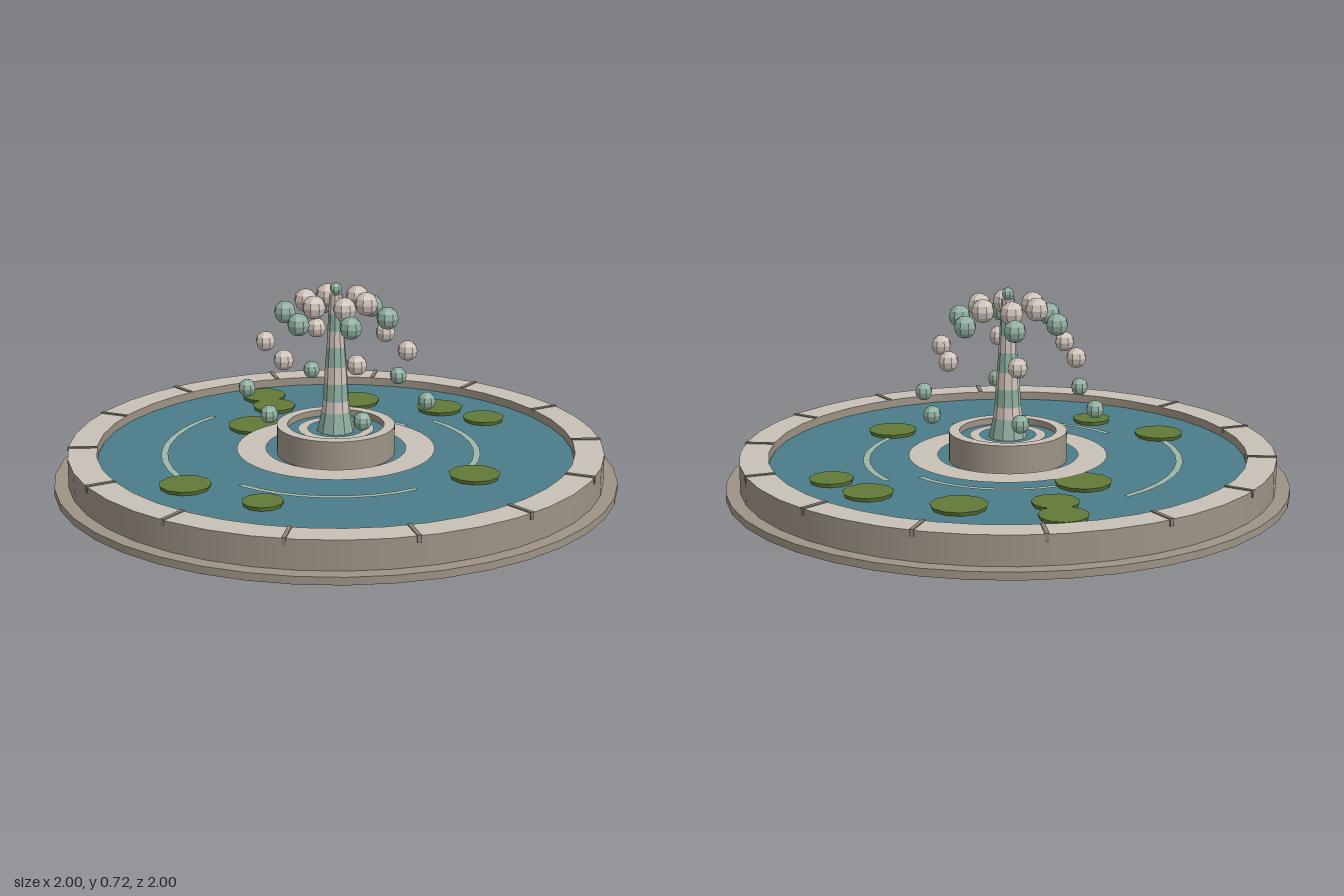
import * as THREE from 'three';

const mat = (name, color, extra = {}) => {
  const m = new THREE.MeshStandardMaterial({ color, ...extra });
  m.name = name;
  return m;
};

export function createModel() {
  const stone = mat('stone', 0x9d9385, { side: THREE.DoubleSide });
  const coping = mat('pale coping', 0xc8c0b6, { side: THREE.DoubleSide });
  const joint = mat('joint', 0x8c8276);
  const water = mat('water', 0x4b7d8a);
  const ripple = mat('ripple', 0x9cb5a8, { side: THREE.DoubleSide });
  const lily = mat('lily green', 0x627a37, { flatShading: true });
  const spray = mat('green spray', 0x8fae9f, { flatShading: true });
  const foam = mat('pale foam', 0xcfc3ba, { flatShading: true });

  const model = new THREE.Group();
  model.name = 'fountain';
  const SIDES = 40;

  const add = (name, geometry, material, x = 0, y = 0, z = 0) => {
    const mesh = new THREE.Mesh(geometry, material);
    mesh.name = name;
    mesh.position.set(x, y, z);
    model.add(mesh);
    return mesh;
  };
  // Open round wall between two heights
  const wall = (name, r, y0, y1, material) =>
    add(name, new THREE.CylinderGeometry(r, r, y1 - y0, SIDES, 1, true), material, 0, (y0 + y1) / 2);
  // Flat ring or arc facing up; angles run from +x towards +z
  const ring = (name, r0, r1, y, material, from = 0, to = 360) => {
    const rad = Math.PI / 180;
    const segments = Math.max(8, Math.round((to - from) / 360 * SIDES));
    const g = new THREE.RingGeometry(r0, r1, segments, 1, -to * rad, (to - from) * rad);
    return add(name, g.rotateX(-Math.PI / 2), material, 0, y);
  };

  // Pool: plinth, hollow wall and coping
  wall('plinthEdge', 1, 0, 0.027, stone);
  ring('plinthTop', 0.95, 1, 0.027, stone);
  wall('poolOuterWall', 0.95, 0.027, 0.13, stone);
  wall('poolInnerWall', 0.848, 0, 0.13, stone);
  ring('copingTop', 0.848, 0.95, 0.13, coping);
  add('poolWater', new THREE.CylinderGeometry(0.846, 0.846, 0.09, SIDES), water, 0, 0.055);

  // Joints between the coping stones
  for (let i = 0; i < 14; i++) {
    const a = i / 14 * Math.PI * 2;
    const slab = add('copingJoint', new THREE.BoxGeometry(0.104, 0.026, 0.014), joint,
      Math.cos(a) * 0.899, 0.121, Math.sin(a) * 0.899);
    slab.rotation.y = -a;
  }

  // Central basin
  ring('basinApron', 0.25, 0.353, 0.117, coping);
  wall('basinFoot', 0.137, 0, 0.03, stone);
  wall('basinOuterWall', 0.21, 0.09, 0.205, stone);
  wall('basinInnerWall', 0.172, 0.17, 0.205, stone);
  ring('basinRim', 0.172, 0.21, 0.205, coping);
  add('basinWater', new THREE.CircleGeometry(0.172, SIDES).rotateX(-Math.PI / 2), water, 0, 0.182);
  ring('basinFoamRing', 0.1, 0.135, 0.188, coping);

  // Ripple arcs: radius, start and end in degrees
  for (const [r, from, to] of [[0.61, 180, 250], [0.39, -95, -19], [0.503, -15, 50], [0.49, 85, 160]]) {
    ring('rippleArc', r - 0.012, r + 0.012, 0.105, ripple, from, to);
  }

  // Lily pads: x, z, radius
  const pads = [
    [0.07, -0.71, 0.085], [0.043, -0.57, 0.082], [0.35, -0.49, 0.098],
    [0.59, -0.25, 0.088], [0.665, -0.06, 0.078], [0.285, 0.47, 0.09],
    [-0.475, 0.365, 0.071], [-0.63, 0.09, 0.09], [-0.13, -0.39, 0.099],
  ];
  for (const [x, z, r] of pads) {
    add('lilyPad', new THREE.CylinderGeometry(r, r * 0.94, 0.014, 11), lily, x, 0.107, z);
  }

  // Water column in alternating bands: height, radius
  const column = [[0.17, 0.07], [0.255, 0.052], [0.295, 0.047], [0.36, 0.043], [0.42, 0.039],
    [0.49, 0.033], [0.55, 0.03], [0.61, 0.027], [0.68, 0.023]];
  for (let i = 0; i < column.length - 1; i++) {
    const [y0, r0] = column[i], [y1, r1] = column[i + 1];
    add('columnBand', new THREE.CylinderGeometry(r1, r0, y1 - y0, 10), i % 2 ? foam : spray, 0, (y0 + y1) / 2);
  }
  add('columnTip', new THREE.SphereGeometry(0.022, 8, 6), spray, 0, 0.698);

  // Six falling jets of drops: distance, height, radius, material
  const drops = [[0.109, 0.65, 0.042, foam], [0.185, 0.603, 0.04, spray],
    [0.257, 0.492, 0.036, foam], [0.328, 0.314, 0.032, spray]];
  for (let i = 0; i < 6; i++) {
    const a = -0.3 + i * Math.PI / 3;
    for (const [d, y, r, material] of drops) {
      add('jetDrop', new THREE.SphereGeometry(r, 8, 6), material, Math.cos(a) * d, y, Math.sin(a) * d);
    }
  }
  return model;
}
